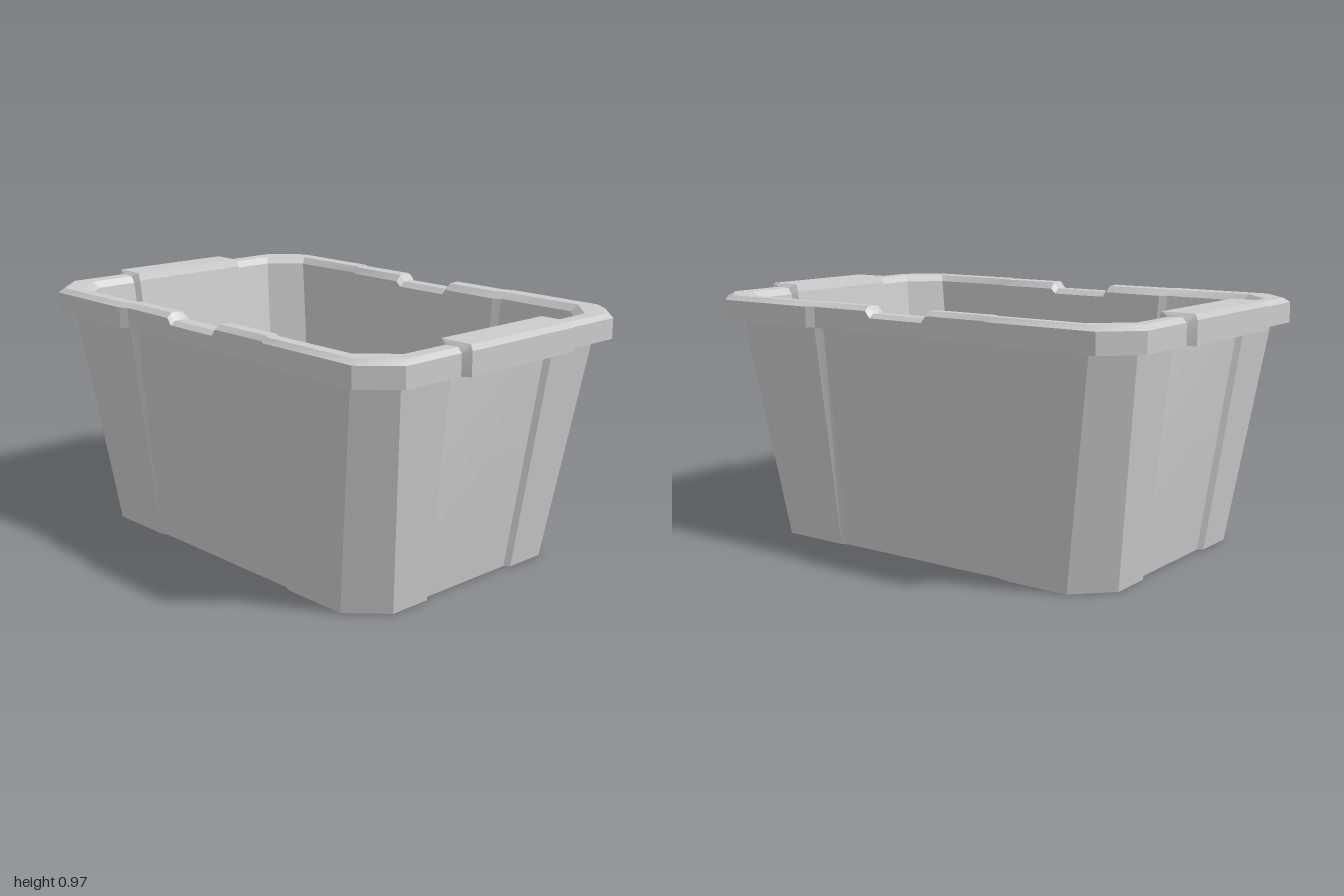
import * as THREE from 'three';
import { toCreasedNormals } from 'three/addons/utils/BufferGeometryUtils.js';

// One closed outline of the bin: a chamfered rectangle with an offset panel in each side.
// x, z: half sizes; c: corner chamfer; pz, px: half widths of the side panels;
// dx, dz: panel offsets; y: height; yGrip, yNotch: heights at the grips and notches.
function ring({ x, z, y, c = 0.12, pz = 0.27, px = 0.39, dx = 0, dz = -0.018, yGrip = y, yNotch = y }) {
  const quarter = [
    [x + dx, yGrip, pz],
    [x, y, pz + 0.016],
    [x, y, z - c],
    [x - c, y, z],
    [px + 0.03, y, z],
    [px, y, z + dz],
    [0.14, y, z + dz],
    [0.12, yNotch, z + dz],
  ];
  const flip = (pts, sx, sz) => pts.map(([a, b, d]) => [a * sx, b, d * sz]);
  const back = [...quarter].reverse();
  return [...quarter, ...flip(back, -1, 1), ...flip(quarter, -1, -1), ...flip(back, 1, -1)];
}

// All points of an outline gathered at the centre, to close a floor
const centre = (y) => Array.from({ length: 32 }, () => [0, y, 0]);

// Skin a run of outlines
function loft(name, rings, material) {
  const pos = [];
  const tri = (...pts) => {
    const [a, b, c] = pts.map((p) => new THREE.Vector3(...p));
    if (b.clone().sub(a).cross(c.clone().sub(a)).length() > 1e-8) pts.forEach((p) => pos.push(...p));
  };
  for (let i = 0; i < rings.length - 1; i++) {
    const lo = rings[i], hi = rings[i + 1];
    for (let j = 0; j < lo.length; j++) {
      const k = (j + 1) % lo.length;
      tri(lo[j], hi[j], lo[k]);
      tri(lo[k], hi[j], hi[k]);
    }
  }
  const geo = new THREE.BufferGeometry();
  geo.setAttribute('position', new THREE.Float32BufferAttribute(pos, 3));
  const mesh = new THREE.Mesh(toCreasedNormals(geo, 0.5), material);
  mesh.name = name;
  return mesh;
}

export function createModel() {
  const group = new THREE.Group();
  group.name = 'storageBin';
  const material = new THREE.MeshStandardMaterial({ color: 0xcccccc });

  // Outline where the outer wall meets the rim, and the opening's inner edge
  const wall = { x: 0.91, z: 0.622, c: 0.115, pz: 0.255, dx: -0.02 };
  const opening = ring({ x: 0.87, z: 0.572, y: 0.93, c: 0.115, pz: 0.268, dx: -0.02, yGrip: 0.94, yNotch: 0.91 });

  // Underside and tapering outer walls; the wall runs up inside the hollow grips
  group.add(loft('outerShell', [
    centre(0),
    ring({ x: 0.79, z: 0.532, y: 0, c: 0.13, pz: 0.215, px: 0.36, dx: -0.02, dz: -0.012 }),
    ring({ ...wall, y: 0.862 }),
    ring({ ...wall, y: 0.862, yGrip: 0.92 }),
  ], material));

  // Overhanging rim with raised, hollow end grips and a notch in each long side
  group.add(loft('rim', [
    ring({ ...wall, y: 0.862, yGrip: 0.92 }),
    ring({ x: 0.945, z: 0.64, y: 0.862, dx: 0.03, pz: 0.262, yGrip: 0.92 }),
    ring({ x: 0.945, z: 0.64, y: 0.862, dx: 0.03, pz: 0.262 }),
    ring({ x: 0.968, z: 0.666, y: 0.862, dx: 0.032 }),
    ring({ x: 0.968, z: 0.666, y: 0.94, dx: 0.032, yGrip: 0.95, yNotch: 0.915 }),
    ring({ x: 0.948, z: 0.645, y: 0.957, dx: 0.04, pz: 0.265, yGrip: 0.97, yNotch: 0.93 }),
    ring({ x: 0.892, z: 0.595, y: 0.955, dx: -0.032, pz: 0.265, yGrip: 0.97, yNotch: 0.93 }),
    opening,
  ], material));

  // Inner walls and floor
  group.add(loft('interior', [
    opening,
    ring({ x: 0.75, z: 0.505, y: 0.03, c: 0.12, pz: 0.235, px: 0.36, dx: -0.02, dz: -0.013 }),
    centre(0.03),
  ], material));

  return group;
}
